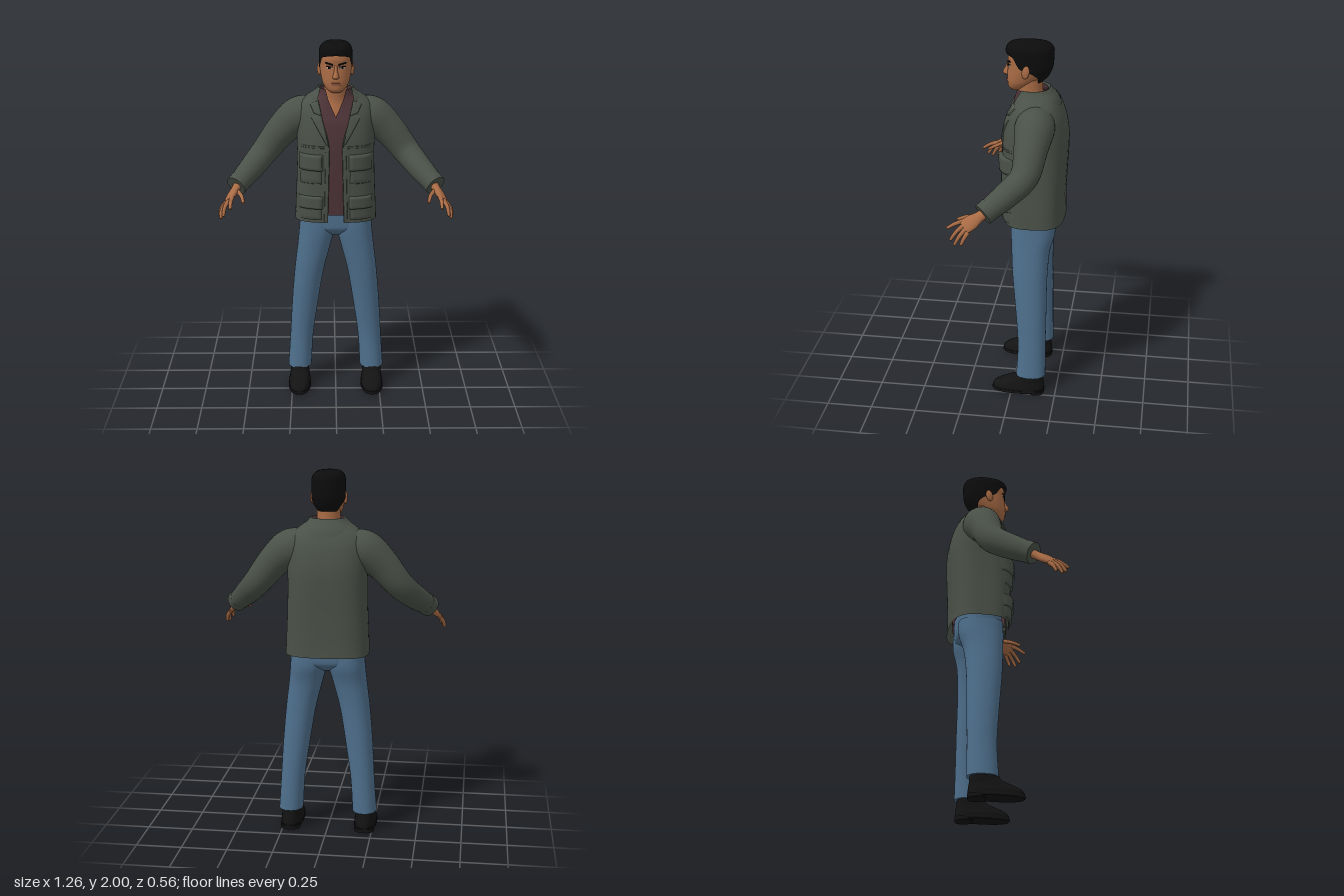
import * as THREE from 'three';

const mat = (name, color) => new THREE.MeshStandardMaterial({ name, color, side: THREE.DoubleSide });

// Catmull-Rom through rows of numbers, giving evenly subdivided rows
function smooth(rows, steps = 6) {
  const out = [], last = rows.length - 1;
  const at = i => rows[Math.max(0, Math.min(last, i))];
  for (let i = 0; i < last; i++) {
    for (let k = 0; k < steps; k++) {
      const t = k / steps, a = at(i - 1), b = at(i), c = at(i + 1), d = at(i + 2);
      out.push(b.map((v, j) => v + 0.5 * t * (c[j] - a[j] + t * (2 * a[j] - 5 * v + 4 * c[j] - d[j]
        + t * (3 * (v - c[j]) + d[j] - a[j])))));
    }
  }
  out.push(rows[last]);
  return out;
}

// Surface through a stack of rings, closed around or open, with optional end caps
function stitch(rings, closed, caps) {
  const n = rings[0].length, pos = rings.flat(2), idx = [];
  for (let i = 0; i < rings.length - 1; i++) {
    for (let j = 0; j < (closed ? n : n - 1); j++) {
      const k = (j + 1) % n, a = i * n + j, b = i * n + k, c = a + n, d = b + n;
      idx.push(a, b, d, a, d, c);
    }
  }
  if (caps) {
    [rings[0], rings[rings.length - 1]].forEach((ring, end) => {
      const base = pos.length / 3;
      pos.push(...ring.flat());
      pos.push(...[0, 1, 2].map(q => ring.reduce((s, p) => s + p[q], 0) / n));
      for (let j = 0; j < n; j++) {
        const k = (j + 1) % n;
        if (end) idx.push(base + j, base + k, base + n);
        else idx.push(base + k, base + j, base + n);
      }
    });
  }
  const g = new THREE.BufferGeometry();
  g.setAttribute('position', new THREE.Float32BufferAttribute(pos, 3));
  g.setIndex(idx);
  g.computeVertexNormals();
  return g;
}

// Horizontal superellipse sections: [y, halfWidth, zFront, zBack, power, gapAngle, xCentre]
function loft(rows, { steps = 6, seg = 40, caps = true } = {}) {
  const open = rows.some(r => r[5] > 0);
  const rings = smooth(rows, steps).map(([y, rx, zf, zb, n, gap = 0, cx = 0]) => {
    const ring = [], g = Math.max(0, gap), count = open ? seg + 1 : seg;
    for (let j = 0; j < count; j++) {
      const t = g + (2 * Math.PI - 2 * g) * j / seg, s = Math.sin(t), c = Math.cos(t);
      const p = v => Math.sign(v) * Math.pow(Math.abs(v), 2 / n);
      ring.push([cx + rx * p(s), y, (zf + zb) / 2 + (zf - zb) / 2 * p(c)]);
    }
    return ring;
  });
  return stitch(rings, !open, caps && !open);
}

// Round limb along points [x, y, z, radius, radiusAlongRef]
function limb(points, ref = new THREE.Vector3(0, 0, 1), seg = 20, steps = 6) {
  const rows = smooth(points, steps), v = r => new THREE.Vector3(r[0], r[1], r[2]);
  const rings = rows.map((r, i) => {
    const T = v(rows[Math.min(i + 1, rows.length - 1)]).sub(v(rows[Math.max(i - 1, 0)])).normalize();
    const U = ref.clone().cross(T).normalize(), V = T.clone().cross(U);
    return Array.from({ length: seg }, (_, j) => {
      const a = 2 * Math.PI * j / seg;
      return v(r).addScaledVector(U, r[3] * Math.cos(a)).addScaledVector(V, (r[4] ?? r[3]) * Math.sin(a)).toArray();
    });
  });
  return stitch(rings, true, true);
}

// Thin raised patch lying on the front of a loft; corners are [x, y]
function patch(rows, [p, q, r, s], raise) {
  const dense = smooth(rows, 10), cuts = [0, 0.04, 0.2, 0.4, 0.6, 0.8, 0.96, 1];
  const frontZ = (x, y) => {
    let i = 0;
    while (i < dense.length - 2 && dense[i + 1][0] < y) i++;
    const f = (y - dense[i][0]) / (dense[i + 1][0] - dense[i][0]);
    const [, rx, zf, zb, n] = dense[i].map((a, k) => a + f * (dense[i + 1][k] - a));
    return (zf + zb) / 2 + (zf - zb) / 2 * Math.pow(Math.max(0, 1 - Math.pow(Math.abs(x) / rx, n)), 1 / n);
  };
  const mix = (a, b, t) => a + (b - a) * t;
  return stitch(cuts.map(v => cuts.map(u => {
    const [x, y] = [0, 1].map(k => mix(mix(p[k], q[k], u), mix(s[k], r[k], u), v));
    const edge = u === 0 || u === 1 || v === 0 || v === 1;
    return [x, y, frontZ(x, y) + (edge ? -0.002 : raise)];
  })), false, false);
}

// Turns an opening half-width in the sixth column into an angle
const opened = rows => rows.map(([y, rx, zf, zb, n, w]) => [y, rx, zf, zb, n, Math.asin(Math.pow(w / rx, n / 2))]);
const rect = (s, x0, x1, y0, y1) => [[s * x0, y0], [s * x1, y0], [s * x1, y1], [s * x0, y1]];

export function createModel() {
  const model = new THREE.Group();
  model.name = 'standingMan';
  const jacket = mat('jacket green', 0x4a5148), jeans = mat('denim blue', 0x4e6f8c);
  const skin = mat('skin', 0xa86b45), hair = mat('hair black', 0x0d0c0c), shoe = mat('shoe black', 0x131313);
  const shirt = mat('shirt maroon', 0x4e3438), lips = mat('lips', 0x8c5340), eyeWhite = mat('eye white', 0xb8aaa0);
  const add = (name, geometry, material) => {
    const m = new THREE.Mesh(geometry, material);
    m.name = name;
    model.add(m);
    return m;
  };

  // Jacket body, open at the front
  const coat = opened([
    [1.02, 0.225, 0.058, -0.27, 3, 0.045], [1.1, 0.222, 0.06, -0.268, 3, 0.042],
    [1.25, 0.215, 0.065, -0.272, 3, 0.038], [1.4, 0.212, 0.07, -0.28, 2.8, 0.032],
    [1.5, 0.215, 0.066, -0.28, 2.6, 0.042], [1.6, 0.215, 0.045, -0.262, 2.5, 0.075],
    [1.66, 0.2, 0.022, -0.238, 2.4, 0.09], [1.7, 0.155, 0.008, -0.215, 2.3, 0.095],
    [1.73, 0.11, 0, -0.19, 2.2, 0.085]]);
  add('jacketBody', loft(coat, { seg: 64 }), jacket);
  add('jacketCollar', loft(opened([
    [1.665, 0.162, 0.03, -0.238, 2.3, 0.105], [1.7, 0.145, 0.022, -0.222, 2.3, 0.1],
    [1.735, 0.108, 0.012, -0.195, 2.2, 0.088], [1.752, 0.095, 0.006, -0.178, 2.2, 0.08],
    [1.73, 0.09, 0, -0.17, 2.2, 0.075]])), jacket);

  // Shirt with a V neck, and the neck inside it
  add('shirt', loft(opened([
    [1.055, 0.19, 0.035, -0.24, 3, 0], [1.4, 0.19, 0.052, -0.25, 2.8, 0],
    [1.55, 0.19, 0.045, -0.25, 2.6, 0], [1.61, 0.18, 0.03, -0.235, 2.5, 0.002],
    [1.67, 0.14, 0.014, -0.215, 2.4, 0.03], [1.71, 0.1, 0.01, -0.18, 2.2, 0.045],
    [1.748, 0.088, 0.006, -0.165, 2.2, 0.055]])), shirt);
  add('neck', loft([
    [1.56, 0.1, 0.025, -0.15, 2.2], [1.62, 0.085, 0.013, -0.15, 2.2], [1.68, 0.068, -0.002, -0.145, 2],
    [1.74, 0.063, 0, -0.14, 2], [1.8, 0.062, 0, -0.14, 2]]), skin);

  // Head, nose, mouth and hair
  const head = [
    [1.735, 0.028, 0.026, -0.03, 2], [1.75, 0.048, 0.043, -0.06, 2.1], [1.775, 0.066, 0.047, -0.09, 2.2],
    [1.8, 0.075, 0.049, -0.12, 2.2], [1.84, 0.083, 0.047, -0.155, 2.2], [1.88, 0.085, 0.043, -0.17, 2.3],
    [1.92, 0.084, 0.045, -0.17, 2.3], [1.96, 0.07, 0.028, -0.16, 2.2], [1.985, 0.035, -0.02, -0.11, 2]];
  add('head', loft(head), skin);
  add('nose', loft([
    [1.813, 0.012, 0.058, 0.02, 2], [1.82, 0.018, 0.071, 0.02, 2], [1.83, 0.016, 0.073, 0.02, 2],
    [1.855, 0.01, 0.06, 0.02, 2], [1.885, 0.008, 0.049, 0.02, 2]], { seg: 16 }), skin);
  add('mouth', patch(head, rect(1, -0.025, 0.025, 1.779, 1.793), 0.004), lips);
  const deg = Math.PI / 180;
  add('hair', loft([
    [1.785, 0.066, 0.03, -0.14, 2.2, 135 * deg], [1.815, 0.08, 0.035, -0.17, 2.2, 118 * deg],
    [1.84, 0.087, 0.045, -0.183, 2.2, 100 * deg], [1.865, 0.09, 0.05, -0.192, 2.3, 72 * deg],
    [1.9, 0.09, 0.05, -0.196, 2.3, 58 * deg], [1.925, 0.09, 0.052, -0.197, 2.3, 46 * deg],
    [1.938, 0.09, 0.055, -0.197, 2.3, 0], [1.955, 0.088, 0.057, -0.197, 2.3, 0],
    [1.975, 0.08, 0.049, -0.188, 2.3, 0], [1.992, 0.058, 0.022, -0.16, 2.2, 0],
    [2, 0.002, -0.065, -0.069, 2, 0]]), hair);

  // Hips
  add('hips', loft([
    [0.925, 0.09, -0.03, -0.16, 2.2], [0.96, 0.17, 0.008, -0.215, 2.6],
    [1.0, 0.198, 0.015, -0.23, 2.7], [1.1, 0.2, 0.015, -0.23, 2.7]]), jeans);

  for (const s of [1, -1]) {
    const side = s > 0 ? 'left' : 'right';
    const put = (name, geometry, material) => add(side + name, geometry, material);
    const spine = rows => rows.map(([x, ...rest]) => [s * x, ...rest]);

    // Face
    put('Brow', patch(head, [[s * 0.014, 1.882], [s * 0.058, 1.894], [s * 0.056, 1.902], [s * 0.014, 1.892]], 0.004), hair);
    put('Eye', patch(head, rect(s, 0.02, 0.05, 1.866, 1.877), 0.002), eyeWhite);
    put('Iris', patch(head, rect(s, 0.029, 0.041, 1.865, 1.878), 0.004), hair);
    put('EyeLid', patch(head, rect(s, 0.017, 0.053, 1.875, 1.88), 0.005), hair);
    const ear = put('Ear', new THREE.SphereGeometry(1, 16, 12), skin);
    ear.scale.set(0.011, 0.036, 0.021);
    ear.position.set(s * 0.088, 1.852, -0.058);
    ear.rotation.set(-0.15, s * -0.25, 0);

    // Lapel and pockets
    put('Lapel', patch(coat, [[s * 0.033, 1.44], [s * 0.05, 1.46], [s * 0.135, 1.605], [s * 0.08, 1.63]], 0.009), jacket);
    put('LapelTop', patch(coat, [[s * 0.075, 1.61], [s * 0.118, 1.625], [s * 0.14, 1.67], [s * 0.093, 1.69]], 0.01), jacket);
    put('FrontPlacket', patch(coat, [[s * 0.043, 1.022], [s * 0.065, 1.022], [s * 0.055, 1.44], [s * 0.033, 1.44]], 0.004), jacket);
    for (const [part, top, flap, bottom] of [['Chest', 1.405, 1.315, 1.24], ['Hip', 1.17, 1.1, 1.035]]) {
      put(part + 'Pocket', patch(coat, rect(s, 0.077, 0.196, bottom, top - 0.01), 0.011), jacket);
      put(part + 'PocketFlap', patch(coat, rect(s, 0.07, 0.202, flap, top), 0.021), jacket);
    }
    put('ChestSeam', patch(coat, rect(s, 0.06, 0.195, 1.44, 1.452), 0.004), jacket);

    // Sleeve and cuff
    put('Sleeve', limb(spine([
      [0.12, 1.595, -0.12, 0.095], [0.2, 1.583, -0.12, 0.105], [0.29, 1.51, -0.113, 0.089],
      [0.385, 1.395, -0.092, 0.075], [0.46, 1.315, -0.005, 0.067], [0.532, 1.248, 0.09, 0.055]]),
    undefined, 28), jacket);
    put('Cuff', limb(spine([[0.512, 1.267, 0.064, 0.06], [0.538, 1.243, 0.097, 0.058]]), undefined, 28), jacket);

    // Hand
    const across = new THREE.Vector3(-0.04 * s, 0.04, 0.035).normalize();
    put('Palm', limb(spine([
      [0.52, 1.258, 0.075, 0.026, 0.03], [0.54, 1.23, 0.115, 0.021, 0.029],
      [0.56, 1.205, 0.155, 0.02, 0.041], [0.578, 1.182, 0.19, 0.013, 0.038]]), across), skin);
    const fingers = {
      IndexFinger: [[0.553, 1.208, 0.192], [0.558, 1.193, 0.235], [0.558, 1.168, 0.275]],
      MiddleFinger: [[0.57, 1.192, 0.19], [0.59, 1.163, 0.225], [0.597, 1.123, 0.253]],
      RingFinger: [[0.585, 1.177, 0.18], [0.607, 1.145, 0.208], [0.613, 1.105, 0.23]],
      LittleFinger: [[0.595, 1.166, 0.165], [0.614, 1.138, 0.183], [0.62, 1.108, 0.196]],
      Thumb: [[0.535, 1.228, 0.125], [0.505, 1.212, 0.18], [0.492, 1.19, 0.232]]
    };
    for (const [name, [a, b, c]] of Object.entries(fingers)) {
      const tip = c.map((v, k) => v + (c[k] - b[k]) * 0.1);
      put(name, limb(spine([[...a, 0.0125], [...b, 0.0105], [...c, 0.008], [...tip, 0.003]]), across, 10, 4), skin);
    }

    // Trouser leg
    put('TrouserLeg', loft([
      [0.115, 0.067, -0.028, -0.192, 2.2, 0, s * 0.207], [0.3, 0.066, -0.035, -0.19, 2.2, 0, s * 0.195],
      [0.5, 0.074, -0.02, -0.19, 2.2, 0, s * 0.175], [0.7, 0.082, 0, -0.19, 2.2, 0, s * 0.15],
      [0.85, 0.092, 0.01, -0.2, 2.3, 0, s * 0.122], [0.95, 0.1, 0.015, -0.225, 2.4, 0, s * 0.104],
      [1.02, 0.099, 0.014, -0.228, 2.4, 0, s * 0.1]]), jeans);

    // Shoe with sole and heel
    const shoeRows = rows => rows.map(([y, rx, zf, zb, x = 0.208]) => [y, rx, zf, zb, 2.4, 0, s * x]);
    put('Shoe', loft(shoeRows([
      [0.02, 0.06, 0.104, -0.184], [0.04, 0.061, 0.103, -0.185], [0.06, 0.057, 0.08, -0.184],
      [0.08, 0.054, 0.03, -0.18], [0.1, 0.053, -0.015, -0.178], [0.15, 0.05, -0.04, -0.175]])), shoe);
    put('Sole', loft(shoeRows([[0.008, 0.06, 0.104, -0.185], [0.015, 0.064, 0.11, -0.188], [0.026, 0.063, 0.108, -0.188]])), shoe);
    put('Heel', loft(shoeRows([[0, 0.054, -0.095, -0.186], [0.02, 0.056, -0.09, -0.188]])), shoe);
  }
  return model;
}
